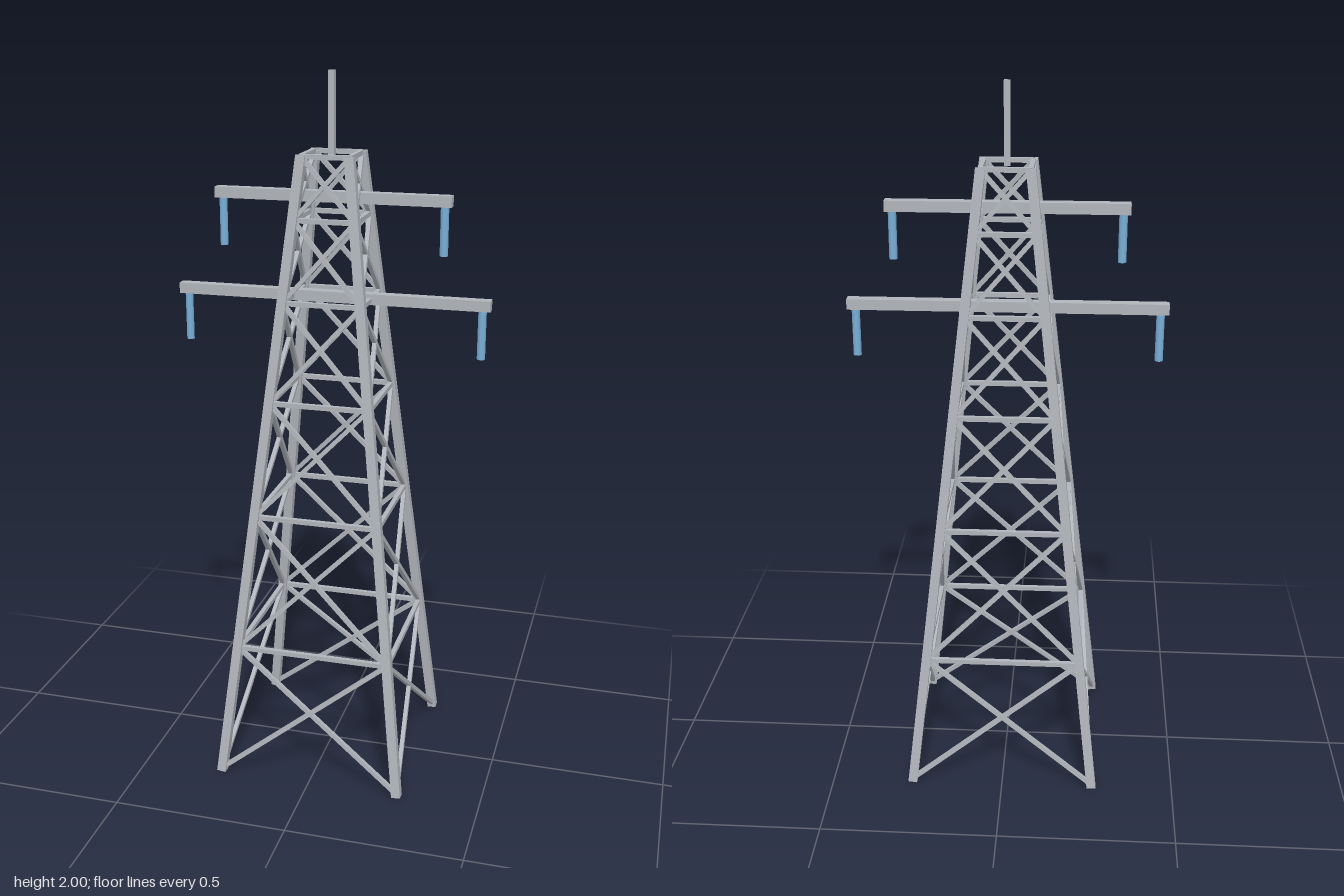
import * as THREE from 'three';

const steel = new THREE.MeshStandardMaterial({ color: 0xb0b5bb });
steel.name = 'galvanised steel';
const glass = new THREE.MeshStandardMaterial({ color: 0x7ab0d8 });
glass.name = 'blue insulator';

const FOOT = 0.003, TOP = 1.785;
const UP = new THREE.Vector3(0, 1, 0);

// Half width of the tapering tower at height y
const halfWidth = (y) => THREE.MathUtils.mapLinear(y, FOOT, TOP, 0.264, 0.066);
const corner = (sx, sz, y) => new THREE.Vector3(sx * halfWidth(y), y, sz * halfWidth(y));

// Square bar between two points
function bar(name, a, b, size) {
  const dir = b.clone().sub(a);
  const mesh = new THREE.Mesh(new THREE.BoxGeometry(size, dir.length(), size), steel);
  mesh.quaternion.setFromUnitVectors(UP, dir.normalize());
  mesh.position.copy(a).add(b).multiplyScalar(0.5);
  mesh.name = name;
  return mesh;
}

// Horizontal arm with a hanging insulator near each end
function crossArm(name, y, half, hangX, drop) {
  const arm = new THREE.Group();
  arm.name = name;
  const beam = new THREE.Mesh(new THREE.BoxGeometry(half * 2, 0.03, 0.03), steel);
  beam.position.y = y;
  beam.name = 'armBeam';
  arm.add(beam);
  for (const s of [-1, 1]) {
    const rod = new THREE.Mesh(new THREE.CylinderGeometry(0.0115, 0.0115, drop, 8), glass);
    rod.position.set(s * hangX, y - 0.015 - drop / 2, 0);
    rod.name = s > 0 ? 'leftInsulator' : 'rightInsulator';
    arm.add(rod);
  }
  return arm;
}

export function createModel() {
  const tower = new THREE.Group();
  tower.name = 'transmissionTower';

  const corners = [[1, 1], [-1, 1], [-1, -1], [1, -1]];
  const levels = [FOOT + 0.007, 0.393, 0.787, 1.115, 1.393, 1.615, TOP - 0.003];

  // Legs
  for (const [sx, sz] of corners) {
    tower.add(bar('leg', corner(sx, sz, FOOT), corner(sx, sz, TOP), 0.026));
  }

  // Lattice: crossed braces in every panel, a horizontal on top of each
  corners.forEach((c, i) => {
    const d = corners[(i + 1) % 4];
    const side = new THREE.Group();
    side.name = ['frontLattice', 'rightLattice', 'backLattice', 'leftLattice'][i];
    for (let k = 0; k < levels.length - 1; k++) {
      const lo = levels[k], hi = levels[k + 1];
      side.add(bar('diagonalBrace', corner(...c, lo), corner(...d, hi), 0.012));
      side.add(bar('diagonalBrace', corner(...d, lo), corner(...c, hi), 0.012));
      side.add(bar('horizontalBrace', corner(...c, hi), corner(...d, hi), 0.013));
    }
    tower.add(side);
  });

  // Arms
  tower.add(crossArm('upperCrossArm', 1.67, 0.33, 0.31, 0.132));
  tower.add(crossArm('lowerCrossArm', 1.395, 0.443, 0.42, 0.135));

  // Mast
  tower.add(bar('mast', new THREE.Vector3(0, TOP - 0.005, 0), new THREE.Vector3(0, 2, 0), 0.017));
  return tower;
}
